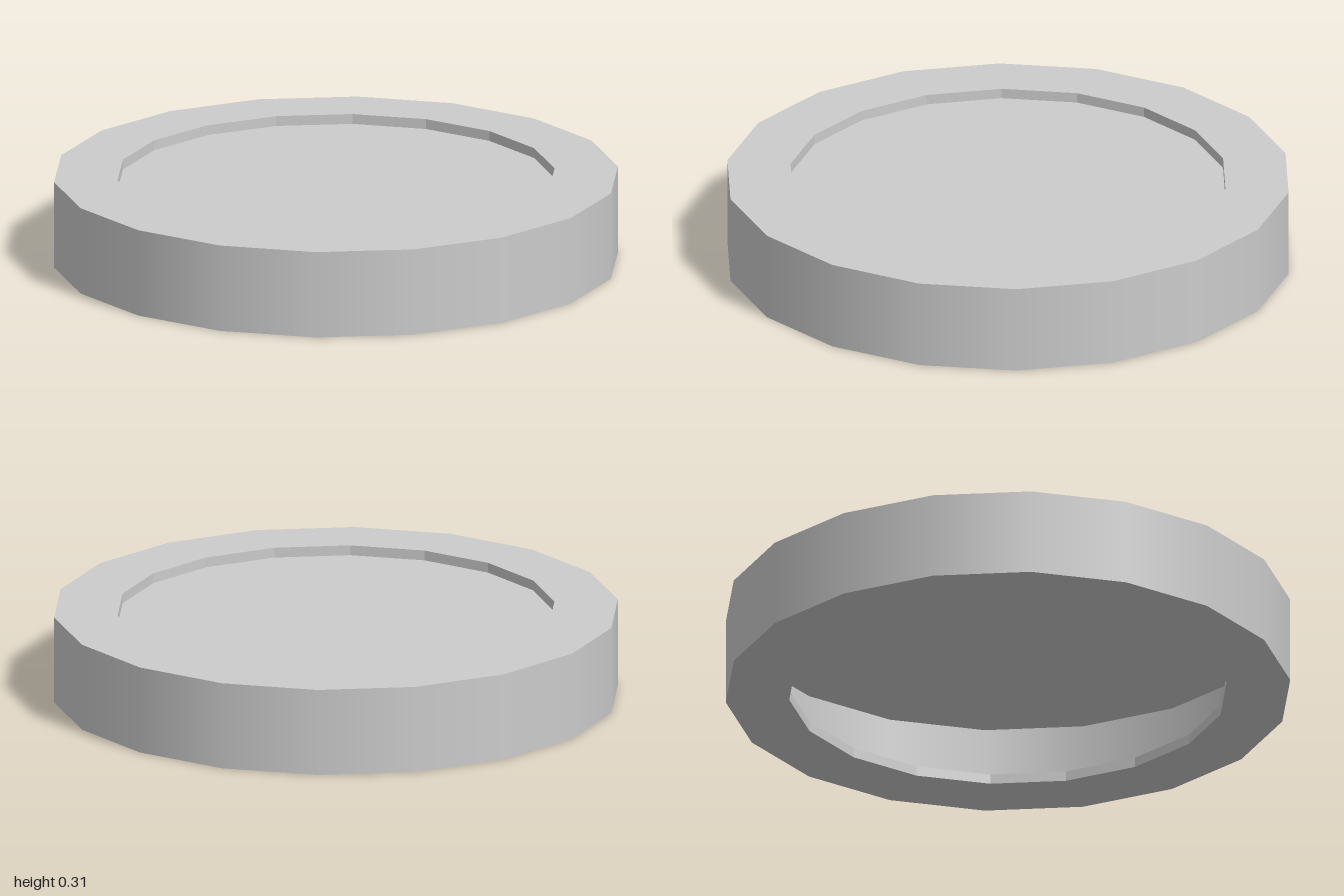
import * as THREE from 'three';

const SIDES = 18;
const OUTER = 1, INNER = 0.775, HEIGHT = 0.313, LIP = 0.036;

// Open, thin sheet metal: both sides show
const smooth = new THREE.MeshStandardMaterial({ color: 0xcccccc, side: THREE.DoubleSide });
const faceted = new THREE.MeshStandardMaterial({ color: 0xcccccc, side: THREE.DoubleSide, flatShading: true });

// Revolves one straight profile segment [radius, y] -> [radius, y], with a corner on the x axis
function band(name, from, to, material) {
  const points = [new THREE.Vector2(...from), new THREE.Vector2(...to)];
  const mesh = new THREE.Mesh(new THREE.LatheGeometry(points, SIDES, Math.PI / 2), material);
  mesh.name = name;
  return mesh;
}

export function createModel() {
  const group = new THREE.Group();
  group.name = 'hollowLid';
  group.add(
    // Underside: open hole with a short upturned lip
    band('bottomLip', [INNER, LIP], [INNER, 0], faceted),
    band('bottomRim', [INNER, 0], [OUTER, 0], faceted),
    // Outer wall, smooth around its sides
    band('outerWall', [OUTER, 0], [OUTER, HEIGHT], smooth),
    // Top: flat rim stepping down to a shallow recessed panel
    band('topRim', [OUTER, HEIGHT], [INNER, HEIGHT], faceted),
    band('topLip', [INNER, HEIGHT], [INNER, HEIGHT - LIP], faceted),
    band('recessedPanel', [INNER, HEIGHT - LIP], [0, HEIGHT - LIP], faceted),
  );
  return group;
}
